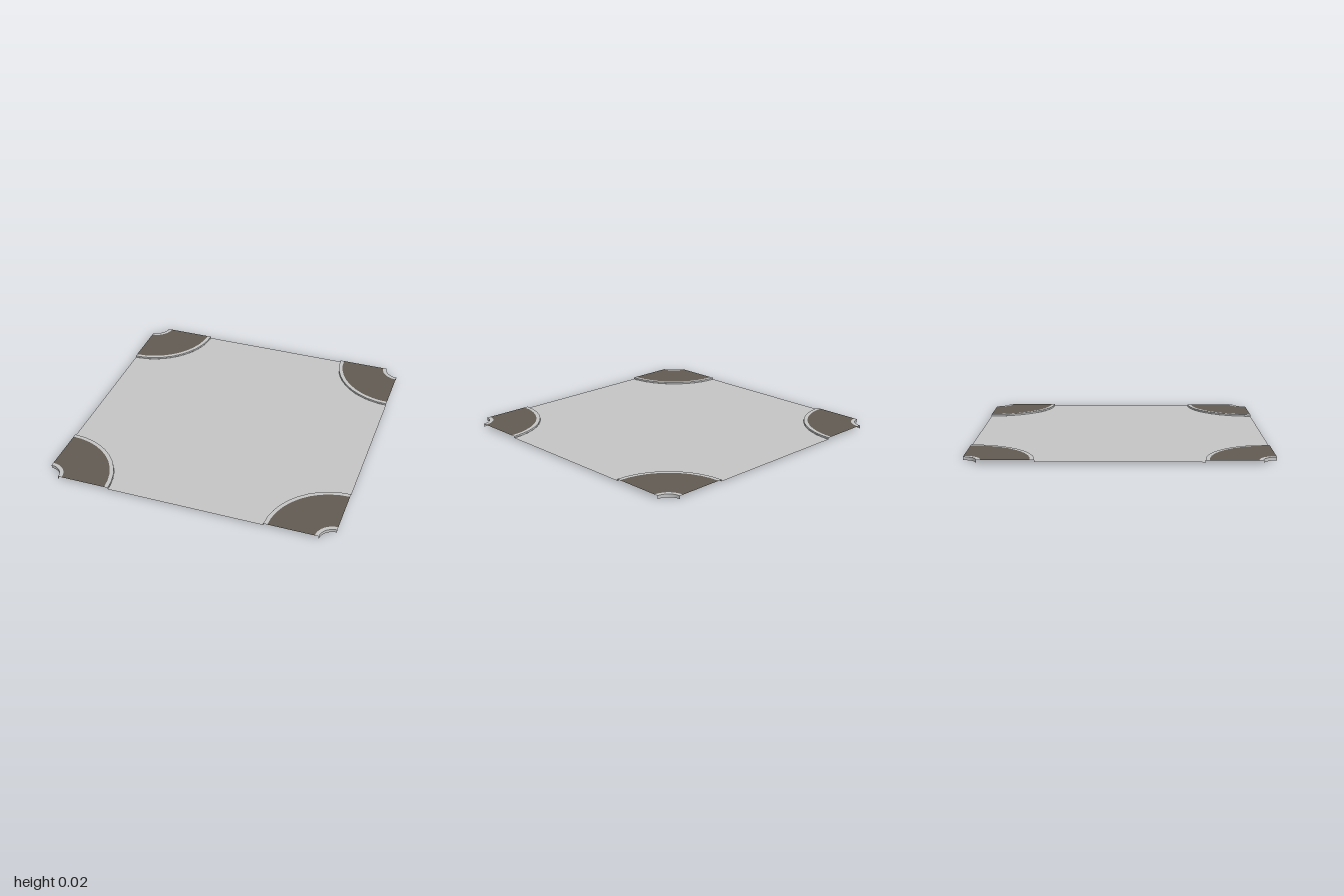
import * as THREE from 'three';

const SEG = 10;            // segments per quarter arc
const R_OUT = 0.46, R_IN = 0.095;
const LIP = 0.027;         // width of the pale edging
const Y_FLOOR = 0.01, Y_TOP = 0.022;

const mat = (name, color) => {
  const m = new THREE.MeshStandardMaterial({ color, side: THREE.DoubleSide });
  m.name = name;
  return m;
};

// Quarter ring swept between two (radius, height) points
function band(name, a, b, material) {
  const pts = [new THREE.Vector2(...a), new THREE.Vector2(...b)];
  const mesh = new THREE.Mesh(new THREE.LatheGeometry(pts, SEG, 0, Math.PI / 2), material);
  mesh.name = name;
  return mesh;
}

export function createModel() {
  const group = new THREE.Group();
  group.name = 'floorTile';
  const pale = mat('paleGrey', 0xc4c4c4);
  const dark = mat('darkBrownGrey', 0x625b52);

  // Thin floor sheet with a quarter circle bitten out of each corner
  const s = new THREE.Shape();
  s.moveTo(-1 + R_OUT, -1);
  s.lineTo(1 - R_OUT, -1);
  s.absarc(1, -1, R_OUT, Math.PI, Math.PI / 2, true);
  s.lineTo(1, 1 - R_OUT);
  s.absarc(1, 1, R_OUT, Math.PI * 1.5, Math.PI, true);
  s.lineTo(-1 + R_OUT, 1);
  s.absarc(-1, 1, R_OUT, 0, -Math.PI / 2, true);
  s.lineTo(-1, -1 + R_OUT);
  s.absarc(-1, -1, R_OUT, Math.PI / 2, 0, true);
  const floor = new THREE.Mesh(new THREE.ShapeGeometry(s, SEG).rotateX(-Math.PI / 2), pale);
  floor.position.y = Y_FLOOR;
  floor.name = 'floor';
  group.add(floor);

  // Raised hollow corners: kerb, dark paving and a rim round the corner hole
  for (let i = 0; i < 4; i++) {
    const corner = new THREE.Group();
    corner.name = 'corner' + (i + 1);
    const part = new THREE.Group();
    part.name = 'raisedCorner';
    part.position.set(-1, 0, -1);
    part.add(
      band('kerbWall', [R_OUT, Y_FLOOR], [R_OUT, Y_TOP], pale),
      band('kerbTop', [R_OUT, Y_TOP], [R_OUT - LIP, Y_TOP], pale),
      band('paving', [R_OUT - LIP, Y_TOP], [R_IN + LIP, Y_TOP], dark),
      band('rimTop', [R_IN + LIP, Y_TOP], [R_IN, Y_TOP], pale),
      band('rimWall', [R_IN, Y_TOP], [R_IN, 0], pale)
    );
    corner.add(part);
    corner.rotation.y = i * Math.PI / 2;
    group.add(corner);
  }
  return group;
}
